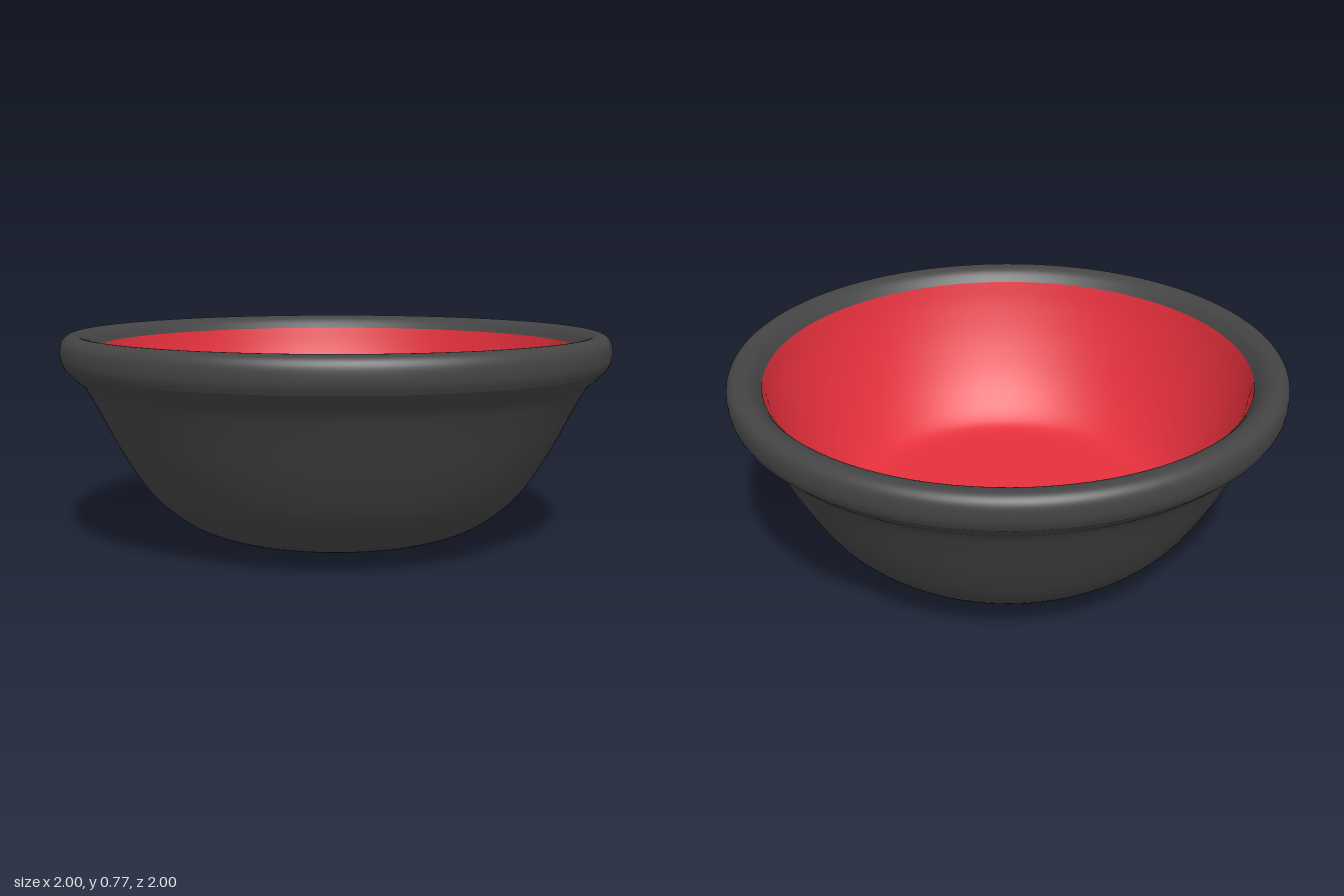
import * as THREE from 'three';

const SEGMENTS = 96;

// Revolves a smooth curve through [radius, height] points about the y axis.
function turned(name, profile, samples, color) {
  const curve = new THREE.SplineCurve(profile.map(([r, y]) => new THREE.Vector2(r, y)));
  const mesh = new THREE.Mesh(
    new THREE.LatheGeometry(curve.getPoints(samples), SEGMENTS),
    new THREE.MeshStandardMaterial({ color })
  );
  mesh.name = name;
  return mesh;
}

export function createModel() {
  const bowl = new THREE.Group();
  bowl.name = 'bowl';
  const dark = 0x444444;
  const red = 0xe5303c;

  // Outer wall, from the centre of the shallow base up and out under the rim
  bowl.add(turned('outerWall', [
    [0, 0], [0.2, 0.01], [0.38, 0.028], [0.5, 0.055], [0.6, 0.11],
    [0.7, 0.205], [0.79, 0.345], [0.87, 0.5], [0.915, 0.58], [0.95, 0.614], [0.985, 0.648],
  ], 50, dark));

  // Rolled rim, rounding over and sloping gently to the inside
  bowl.add(turned('rim', [
    [0.985, 0.648], [0.998, 0.68], [0.999, 0.725],
    [0.988, 0.752], [0.965, 0.767], [0.935, 0.766], [0.905, 0.75], [0.877, 0.718],
  ], 35, dark));

  // Inner lining, curving from the rim down to a flat floor
  bowl.add(turned('innerLining', [
    [0.877, 0.718], [0.854, 0.62], [0.81, 0.49], [0.75, 0.36], [0.69, 0.265],
    [0.635, 0.203], [0.58, 0.17], [0.5, 0.162], [0.25, 0.16], [0, 0.16],
  ], 45, red));

  return bowl;
}
